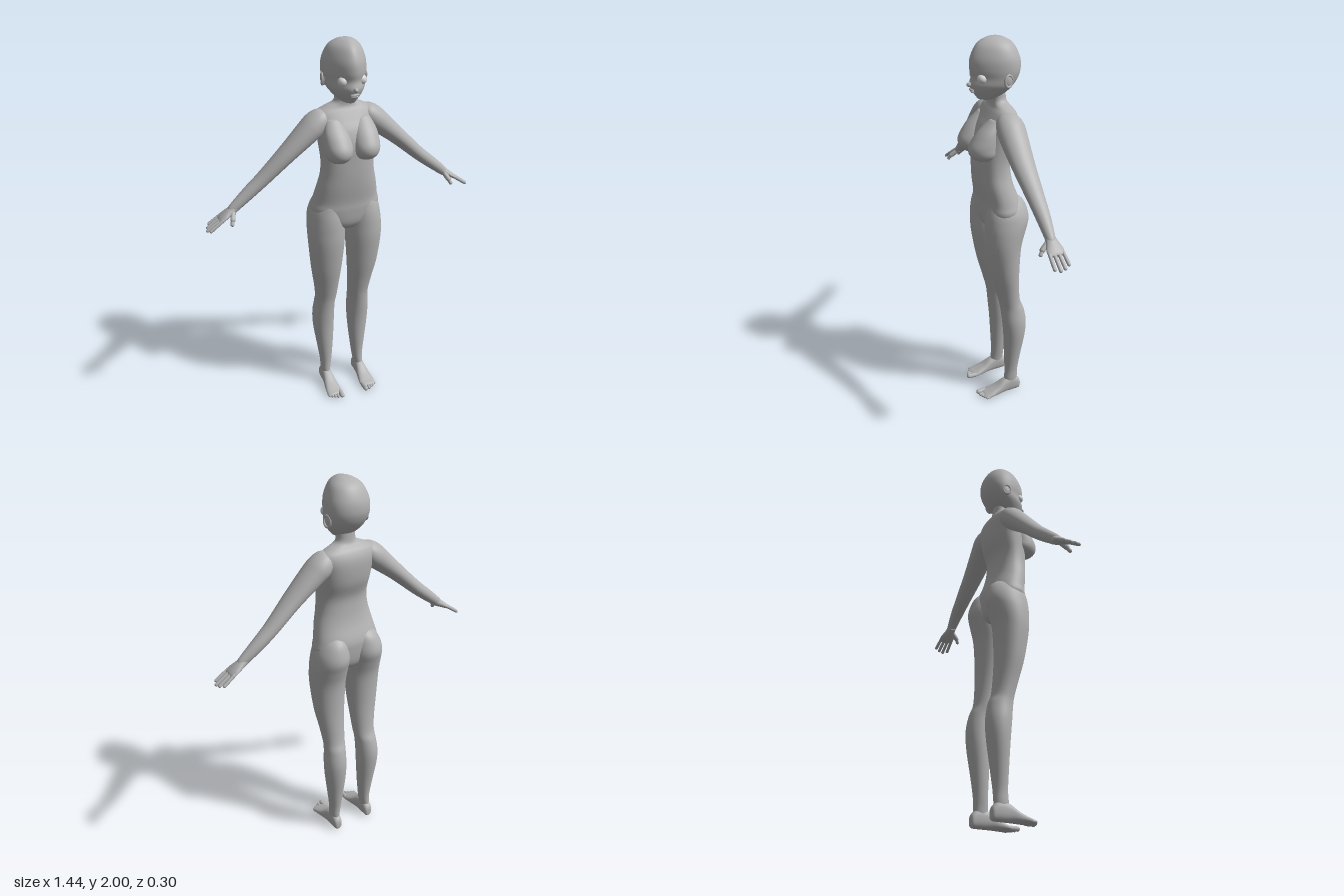
import * as THREE from 'three';

const skin = new THREE.MeshStandardMaterial({ color: 0xb2b2b2 });
skin.name = 'neutral grey';
const eyeWhite = new THREE.MeshStandardMaterial({ color: 0xd6d6d6 });
eyeWhite.name = 'pale grey';

function catmull(a, b, c, d, t) {
  const m = (c - a) / 2, n = (d - b) / 2;
  return b + m * t + (3 * (c - b) - 2 * m - n) * t * t + (2 * (b - c) + m + n) * t * t * t;
}

// Smooth closed loft along +y; each section is [y, xMin, xMax, zMin, zMax].
// power < 1 squares the rings, taper narrows them towards +z.
function loft(sections, { sides = 36, steps = 5, power = 1, taper = 0 } = {}) {
  const s = sections[0][0] > sections.at(-1)[0] ? [...sections].reverse() : sections;
  const at = (i) => s[Math.max(0, Math.min(s.length - 1, i))];
  const bend = (v) => Math.sign(v) * Math.abs(v) ** power;
  const rings = [];
  for (let i = 0; i < s.length - 1; i++) {
    for (let k = 0; k < steps; k++) {
      rings.push(s[i].map((_, c) => catmull(at(i - 1)[c], s[i][c], at(i + 1)[c], at(i + 2)[c], k / steps)));
    }
  }
  rings.push(s.at(-1));
  const pos = [], index = [];
  for (const [y, x0, x1, z0, z1] of rings) {
    for (let j = 0; j < sides; j++) {
      const a = (j / sides) * Math.PI * 2, sn = bend(Math.sin(a));
      pos.push((x0 + x1) / 2 + ((x1 - x0) / 2) * bend(Math.cos(a)) * (1 - taper * sn), y,
        (z0 + z1) / 2 + ((z1 - z0) / 2) * sn);
    }
  }
  for (let i = 0; i < rings.length - 1; i++) {
    for (let j = 0; j < sides; j++) {
      const a = i * sides + j, b = i * sides + ((j + 1) % sides);
      index.push(a, a + sides, b, b, a + sides, b + sides);
    }
  }
  // end caps
  const last = (rings.length - 1) * sides, c0 = pos.length / 3;
  for (const [y, x0, x1, z0, z1] of [rings[0], rings.at(-1)]) pos.push((x0 + x1) / 2, y, (z0 + z1) / 2);
  for (let j = 0; j < sides; j++) {
    const n = (j + 1) % sides;
    index.push(c0, j, n, c0 + 1, last + n, last + j);
  }
  const g = new THREE.BufferGeometry();
  g.setAttribute('position', new THREE.Float32BufferAttribute(pos, 3));
  g.setIndex(index);
  g.computeVertexNormals();
  return g;
}

function part(parent, name, geometry, material = skin) {
  const m = new THREE.Mesh(geometry, material);
  m.name = name;
  parent.add(m);
  return m;
}

function ellipsoid(parent, name, center, radii, material = skin) {
  const m = part(parent, name, new THREE.SphereGeometry(1, 24, 16), material);
  m.position.set(...center);
  m.scale.set(...radii);
  return m;
}

// Rounded rod between two points
function digit(parent, name, from, to, r) {
  const a = new THREE.Vector3(...from), b = new THREE.Vector3(...to), d = b.clone().sub(a);
  const m = part(parent, name, new THREE.CapsuleGeometry(r, d.length(), 5, 12));
  m.position.copy(a).add(b).multiplyScalar(0.5);
  m.quaternion.setFromUnitVectors(new THREE.Vector3(0, 1, 0), d.normalize());
  return m;
}

const symmetric = (rows) => rows.map(([y, r, zb, zf]) => [y, -r, r, zb, zf]);

function buildHand() {
  const hand = new THREE.Group();
  hand.name = 'hand';
  part(hand, 'palm', loft([
    [-0.02, -0.022, 0.022, -0.023, 0.021], [0.02, -0.02, 0.02, -0.03, 0.027],
    [0.06, -0.015, 0.015, -0.041, 0.04], [0.085, -0.01, 0.011, -0.041, 0.041], [0.094, -0.005, 0.006, -0.036, 0.036],
  ]));
  [0.145, 0.16, 0.167, 0.155].forEach((tip, i) => {
    const z = -0.033 + i * 0.022;
    digit(hand, 'finger', [0, 0.08, z], [0.004, tip, z * 1.12], 0.0085);
  });
  digit(hand, 'thumb', [0.006, 0.018, 0.016], [0.022, 0.04, 0.045], 0.013);
  digit(hand, 'thumbTip', [0.022, 0.04, 0.045], [0.034, 0.056, 0.057], 0.0095);
  hand.position.set(0.57, 1.23, -0.035);
  hand.rotation.z = -2.11;
  return hand;
}

function buildFoot() {
  const foot = new THREE.Group();
  foot.name = 'foot';
  // lofted heel to toe, then laid flat
  part(foot, 'footBody', loft([
    [-0.121, 0.09, 0.115, -0.05, -0.015], [-0.112, 0.08, 0.125, -0.07, -0.002], [-0.08, 0.076, 0.13, -0.095, 0],
    [-0.03, 0.074, 0.132, -0.085, 0], [0.02, 0.066, 0.14, -0.052, 0], [0.065, 0.06, 0.146, -0.031, 0],
    [0.09, 0.063, 0.143, -0.022, -0.002], [0.1, 0.07, 0.135, -0.016, -0.006],
  ], { power: 0.8 })).rotation.x = Math.PI / 2;
  digit(foot, 'bigToe', [0.073, 0.013, 0.08], [0.074, 0.013, 0.118], 0.013);
  for (let i = 0; i < 4; i++) {
    const x = 0.096 + i * 0.0145;
    digit(foot, 'toe', [x, 0.011, 0.075], [x, 0.0095, 0.115 - i * 0.008], 0.0088 - i * 0.0004);
  }
  return foot;
}

function buildSide() {
  const side = new THREE.Group();
  part(side, 'leg', loft([
    [1.24, 0.04, 0.12, -0.07, 0.03], [1.2, 0.02, 0.155, -0.12, 0.06], [1.15, 0.008, 0.182, -0.142, 0.072],
    [1.1, 0.004, 0.194, -0.148, 0.079], [1.04, 0.004, 0.2, -0.13, 0.08], [0.95, 0.008, 0.199, -0.107, 0.075],
    [0.8, 0.02, 0.185, -0.1, 0.05], [0.68, 0.03, 0.165, -0.105, 0.02], [0.6, 0.036, 0.155, -0.115, 0],
    [0.55, 0.042, 0.155, -0.135, -0.008], [0.47, 0.043, 0.163, -0.148, -0.017], [0.38, 0.045, 0.16, -0.142, -0.025],
    [0.25, 0.055, 0.143, -0.122, -0.03], [0.15, 0.066, 0.13, -0.108, -0.033], [0.09, 0.075, 0.128, -0.105, -0.03],
    [0.04, 0.08, 0.125, -0.1, -0.03],
  ]));
  side.add(buildFoot());
  part(side, 'chest', loft([
    [1.427, 0.05, 0.09, 0.04, 0.095], [1.438, 0.025, 0.117, 0.02, 0.125], [1.465, 0.006, 0.136, 0, 0.149],
    [1.5, 0.003, 0.14, 0, 0.151], [1.54, 0.008, 0.138, 0, 0.128], [1.58, 0.02, 0.13, 0, 0.095],
    [1.63, 0.04, 0.11, -0.02, 0.04],
  ]));
  // arm, lofted from the shoulder outwards
  const arm = part(side, 'arm', loft([
    [-0.07, -0.03, 0.03, -0.06, 0.01], [-0.045, -0.047, 0.05, -0.085, 0.03], [0, -0.056, 0.062, -0.098, 0.04],
    [0.06, -0.053, 0.058, -0.095, 0.04], [0.2, -0.04, 0.046, -0.085, 0.028], [0.36, -0.028, 0.042, -0.079, 0.006],
    [0.46, -0.027, 0.036, -0.073, -0.004], [0.56, -0.024, 0.026, -0.06, -0.012], [0.585, -0.018, 0.022, -0.056, -0.014],
  ]));
  arm.position.set(0.15, 1.6, 0);
  arm.rotation.z = -2.286;
  side.add(buildHand());
  // ear with raised rim
  ellipsoid(side, 'ear', [0.1, 1.81, -0.035], [0.01, 0.03, 0.022]);
  const rim = part(side, 'earRim', new THREE.TorusGeometry(0.021, 0.005, 8, 24));
  rim.position.set(0.107, 1.812, -0.036);
  rim.scale.y = 1.3;
  rim.rotation.y = Math.PI / 2 + 0.25;
  ellipsoid(side, 'eye', [0.048, 1.82, 0.073], [0.024, 0.024, 0.024], eyeWhite);
  return side;
}

export function createModel() {
  const model = new THREE.Group();
  model.name = 'figure';
  part(model, 'torso', loft(symmetric([
    [1.025, 0.03, -0.06, 0.01], [1.04, 0.07, -0.09, 0.045], [1.08, 0.14, -0.11, 0.07], [1.15, 0.18, -0.118, 0.079],
    [1.2, 0.172, -0.115, 0.081], [1.28, 0.155, -0.086, 0.092], [1.35, 0.139, -0.073, 0.098],
    [1.42, 0.135, -0.072, 0.1], [1.5, 0.14, -0.098, 0.1], [1.57, 0.147, -0.107, 0.08], [1.62, 0.152, -0.105, 0.05],
    [1.655, 0.142, -0.092, 0.028], [1.678, 0.1, -0.075, 0.014], [1.7, 0.054, -0.063, 0.013],
    [1.74, 0.046, -0.06, 0.018], [1.79, 0.045, -0.06, 0.02],
  ]), { power: 0.88, sides: 48 }));
  part(model, 'head', loft(symmetric([
    [2, 0.004, -0.01, 0.002], [1.993, 0.036, -0.05, 0.042], [1.965, 0.073, -0.095, 0.083], [1.91, 0.098, -0.124, 0.111],
    [1.86, 0.104, -0.13, 0.115], [1.82, 0.1, -0.12, 0.108], [1.785, 0.092, -0.1, 0.116], [1.755, 0.074, -0.074, 0.106],
    [1.73, 0.052, -0.04, 0.089], [1.713, 0.032, 0, 0.075], [1.706, 0.012, 0.025, 0.055],
  ]), { taper: 0.28, sides: 48 }));
  ellipsoid(model, 'nose', [0, 1.785, 0.114], [0.012, 0.012, 0.018]);
  ellipsoid(model, 'upperLip', [0, 1.761, 0.107], [0.023, 0.006, 0.011]);
  ellipsoid(model, 'lowerLip', [0, 1.751, 0.102], [0.019, 0.006, 0.011]);
  const left = buildSide(), right = buildSide();
  left.name = 'leftSide';
  right.name = 'rightSide';
  right.scale.x = -1;
  model.add(left, right);
  return model;
}
